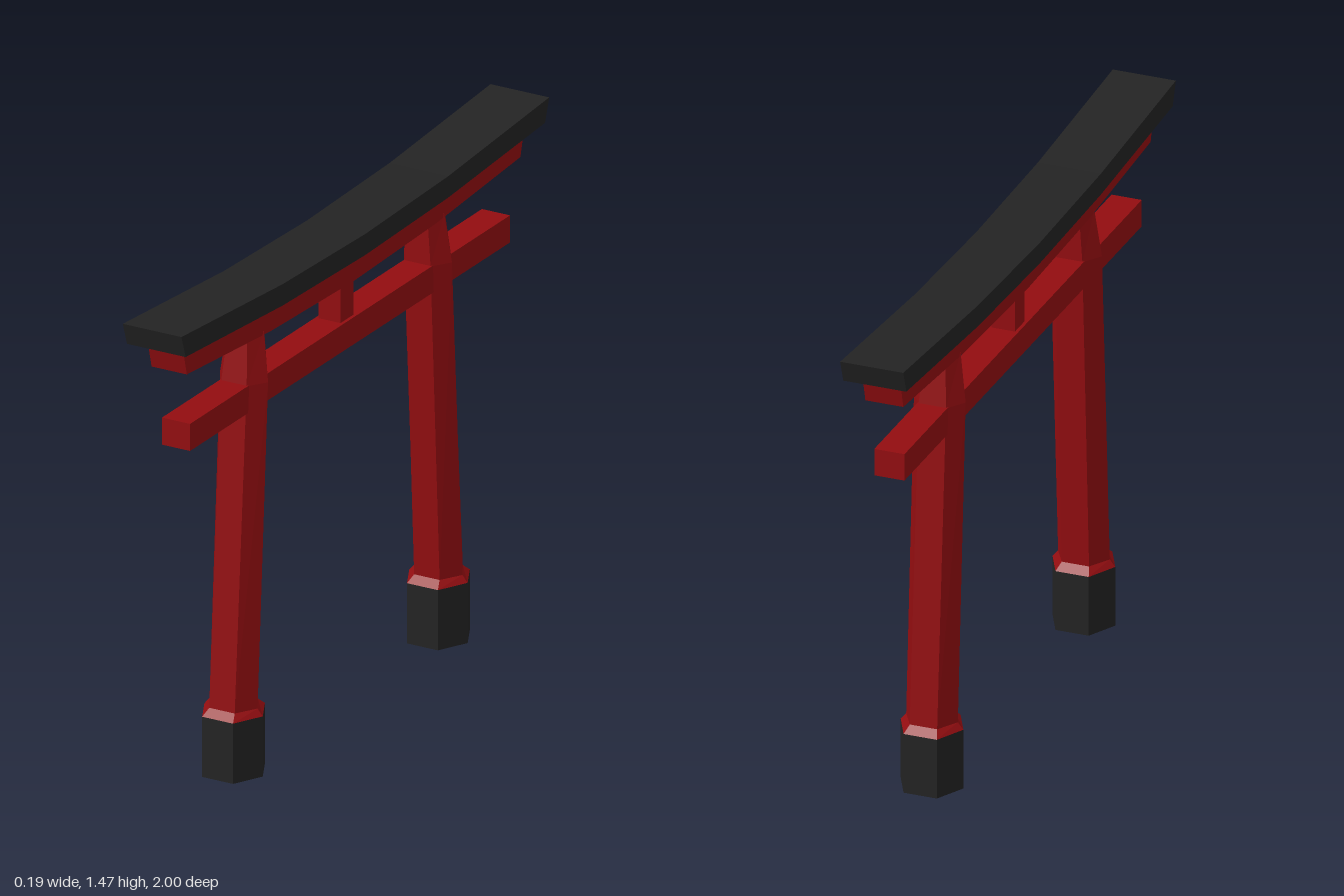
import * as THREE from 'three';

const red = new THREE.MeshStandardMaterial({ color: 0x930d10 });
red.name = 'red lacquer';
const black = new THREE.MeshStandardMaterial({ color: 0x232323 });
black.name = 'charcoal black';

function add(parent, name, geometry, material) {
  const mesh = new THREE.Mesh(geometry, material);
  mesh.name = name;
  parent.add(mesh);
  return mesh;
}

// Hexagonal loft with flat faces; each ring is [y, centre z, half x, half z]
function hexLoft(rings) {
  const hex = [[1, 0], [0.53, -1], [-0.53, -1], [-1, 0], [-0.53, 1], [0.53, 1]];
  const loops = rings.map(([y, cz, hx, hz]) => hex.map(([x, z]) => [x * hx, y, cz + z * hz]));
  const pos = [];
  const tri = (a, b, c) => pos.push(...a, ...b, ...c);
  for (let r = 0; r < loops.length - 1; r++) {
    for (let i = 0; i < 6; i++) {
      const j = (i + 1) % 6;
      const a = loops[r][i], b = loops[r][j], c = loops[r + 1][j], d = loops[r + 1][i];
      tri(a, b, c);
      tri(a, c, d);
    }
  }
  const bottom = loops[0], top = loops[loops.length - 1];
  for (let i = 1; i < 5; i++) {
    tri(bottom[0], bottom[i + 1], bottom[i]);
    tri(top[0], top[i], top[i + 1]);
  }
  const geometry = new THREE.BufferGeometry();
  geometry.setAttribute('position', new THREE.Float32BufferAttribute(pos, 3));
  geometry.computeVertexNormals();
  return geometry;
}

// Upswept beam: half profiles as [z, y] from the middle outwards, mirrored in z
function sweptBeam(under, over, width) {
  const mirror = (p) => [...p.slice(1).reverse().map(([z, y]) => [-z, y]), ...p];
  const outline = [...mirror(under), ...mirror(over).reverse()];
  const shape = new THREE.Shape(outline.map(([z, y]) => new THREE.Vector2(z, y)));
  const geometry = new THREE.ExtrudeGeometry(shape, { depth: width, bevelEnabled: false });
  return geometry.translate(0, 0, -width / 2).rotateY(-Math.PI / 2);
}

export function createModel() {
  const gate = new THREE.Group();
  gate.name = 'gate';

  // Leaning pillars on black footings
  for (const side of ['front', 'back']) {
    const pillar = new THREE.Group();
    pillar.name = side + 'Pillar';
    add(pillar, 'footing', hexLoft([
      [0, 0.557, 0.0935, 0.087],
      [0.18, 0.557, 0.0935, 0.087],
    ]), black);
    add(pillar, 'post', hexLoft([
      [0.18, 0.557, 0.0935, 0.087],
      [0.2, 0.557, 0.077, 0.063],
      [1.155, 0.5, 0.077, 0.055],
      [1.3, 0.49, 0.058, 0.045],
    ]), red);
    if (side === 'back') pillar.rotation.y = Math.PI;
    gate.add(pillar);
  }

  // Straight tie beam and the short strut above it
  add(gate, 'tieBeam', new THREE.BoxGeometry(0.09, 0.081, 1.74), red).position.y = 1.116;
  add(gate, 'centreStrut', new THREE.BoxGeometry(0.07, 0.14, 0.07), red).position.y = 1.22;

  // Curved lintel and the roof beam resting on it
  add(gate, 'lintel', sweptBeam(
    [[0, 1.274], [0.45, 1.286], [0.907, 1.32]],
    [[0, 1.361], [0.45, 1.371], [0.928, 1.402]], 0.113), red);
  add(gate, 'roofBeam', sweptBeam(
    [[0, 1.36], [0.45, 1.37], [0.977, 1.405]],
    [[0, 1.423], [0.45, 1.434], [1, 1.473]], 0.188), black);

  return gate;
}
